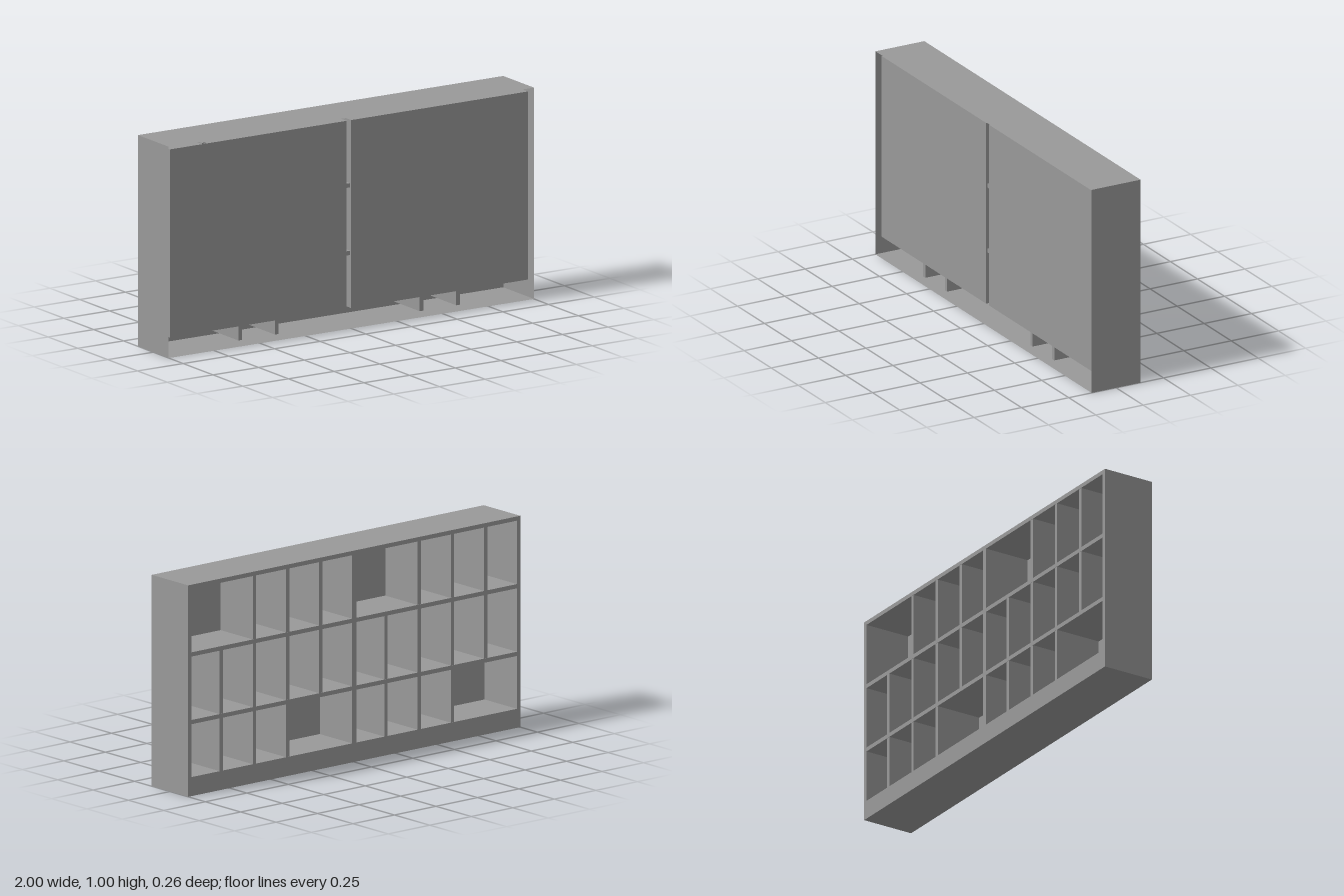
import * as THREE from 'three';

const H = 1, Z = 0.129;          // overall height, half depth
const IN = 0.98, BASE = 0.09;    // inner half width / top, lowest compartment floor
const GAP = 0.0125;              // half width of the central gap
const PANEL = 0.104;             // centre of the recessed panels
const T = 0.02;                  // board thickness

export function createModel() {
  const model = new THREE.Group();
  const grey = new THREE.MeshStandardMaterial({ color: 0x999999, side: THREE.DoubleSide });
  grey.name = 'plain grey';

  const add = (name, geometry, x, y, z) => {
    const mesh = new THREE.Mesh(geometry, grey);
    mesh.name = name;
    mesh.position.set(x, y, z);
    model.add(mesh);
    return mesh;
  };
  // box given by its limits
  const box = (name, x0, x1, y0, y1, z0, z1) =>
    add(name, new THREE.BoxGeometry(x1 - x0, y1 - y0, z1 - z0),
      (x0 + x1) / 2, (y0 + y1) / 2, (z0 + z1) / 2);
  // thin horizontal and upright sheets running front to back
  const flat = (name, x0, x1, y, z0, z1, up) => {
    add(name, new THREE.PlaneGeometry(x1 - x0, z1 - z0), (x0 + x1) / 2, y, (z0 + z1) / 2)
      .rotation.x = up ? -Math.PI / 2 : Math.PI / 2;
  };
  const upright = (name, x, y0, y1, z0, z1, side) => {
    add(name, new THREE.PlaneGeometry(z1 - z0, y1 - y0), x, (y0 + y1) / 2, (z0 + z1) / 2)
      .rotation.y = side * Math.PI / 2;
  };

  // outer case, open at the front
  flat('caseTop', -1, 1, H, -Z, Z, true);
  flat('caseBottom', -1, 1, 0, -Z, Z, false);
  upright('caseLeft', 1, 0, H, -Z, Z, 1);
  upright('caseRight', -1, 0, H, -Z, Z, -1);

  // back frame with two openings
  const rect = (P, x0, x1, y0, y1) => {
    const p = new P();
    p.moveTo(x0, y0).lineTo(x1, y0).lineTo(x1, y1).lineTo(x0, y1).closePath();
    return p;
  };
  const frame = rect(THREE.Shape, -1, 1, 0, H);
  frame.holes.push(rect(THREE.Path, -IN, -GAP, BASE, IN), rect(THREE.Path, GAP, IN, BASE, IN));
  add('backFrame', new THREE.ShapeGeometry(frame), 0, 0, -Z).scale.z = -1;

  // two cabinet halves: recessed panel and thin lining
  for (const [x0, x1] of [[-IN, -GAP], [GAP, IN]]) {
    box('panel', x0, x1, BASE, IN, PANEL - 0.004, PANEL + 0.004);
    flat('liningTop', x0, x1, IN, -Z, PANEL, true);
    flat('liningBottom', x0, x1, BASE, -Z, PANEL, false);
    upright('liningLeft', x1, BASE, IN, -Z, PANEL, 1);
    upright('liningRight', x0, BASE, IN, -Z, PANEL, -1);
  }

  // shelves across the full width
  for (const y of [0.35, 0.67])
    box('shelf', -IN, IN, y - T / 2, y + T / 2, -Z, PANEL - 0.004);

  // dividers of each row, counted in cells from the centre
  const rows = [
    { y0: BASE, y1: 0.34, cells: [4, 3, 2, -1, -2, -3] },
    { y0: 0.36, y1: 0.66, cells: [4, 3, 2, 1, -1, -2, -3, -4] },
    { y0: 0.68, y1: IN, cells: [3, 2, 1, -2, -3, -4] },
  ];
  rows.forEach(({ y0, y1, cells }, row) => {
    for (const c of cells) {
      const x = c * 0.2 + (c < 0 ? 0.008 : 0);
      // some lower dividers reach down as feet
      const foot = row === 0 && (Math.abs(c) === 2 || Math.abs(c) === 3);
      const tab = row === 2 && c === -4 ? 0.005 : 0;
      box('divider', x - T / 2, x + T / 2, foot ? 0.022 : y0, y1 + tab, -Z + 0.001, PANEL);
    }
  });
  return model;
}
